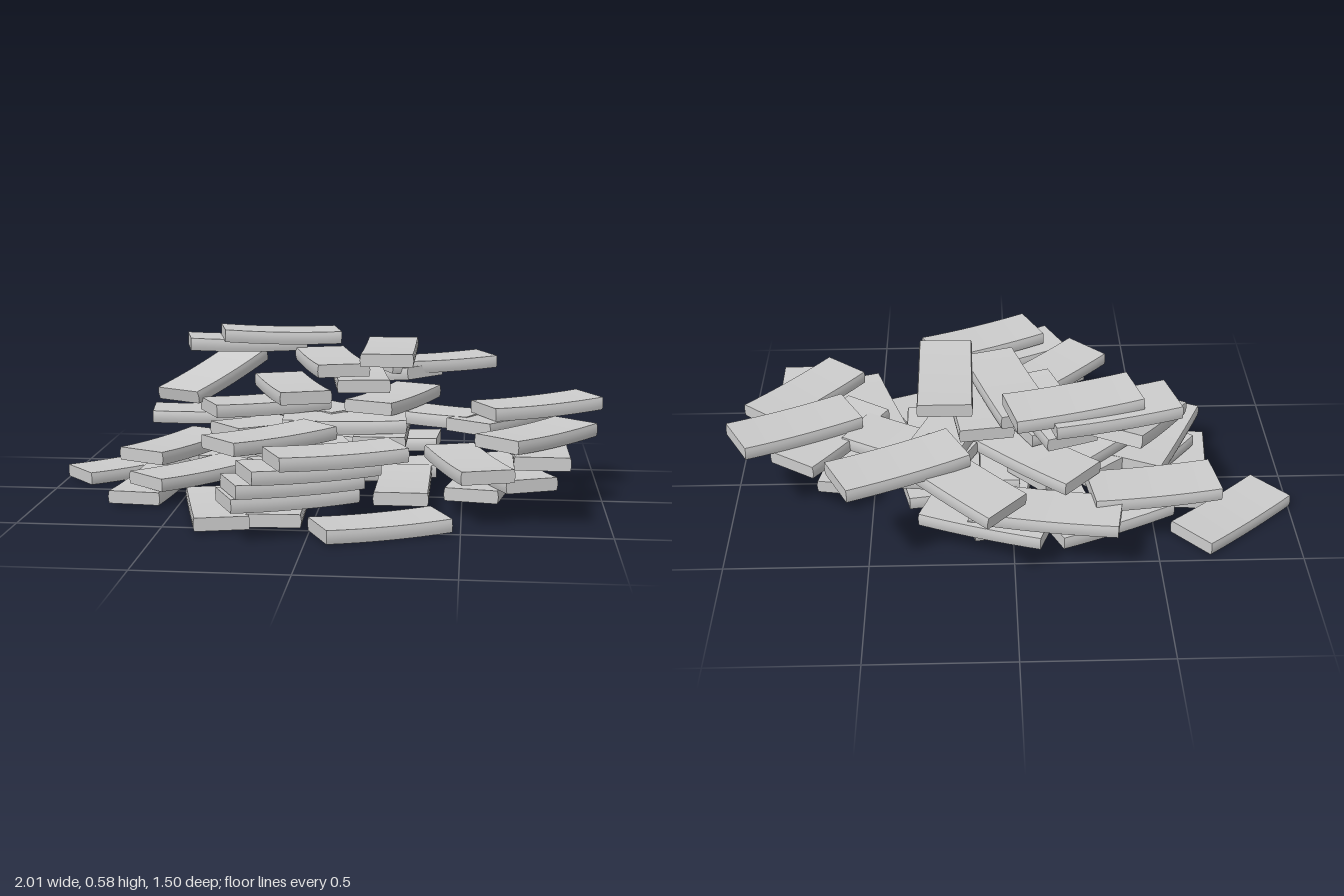
import * as THREE from 'three';

const LENGTH = 0.44, THICK = 0.046, WIDTH = 0.184, STEP = 0.0495;
const rad = THREE.MathUtils.degToRad;

// One bundle: a box that sags a little along its length, with softly bulging long sides
function bundleGeometry() {
  const g = new THREE.BoxGeometry(LENGTH, THICK, WIDTH, 8, 4, 1);
  const p = g.attributes.position;
  for (let i = 0; i < p.count; i++) {
    const u = p.getX(i) / (LENGTH / 2), v = p.getY(i) / (THICK / 2);
    p.setY(i, p.getY(i) + 0.006 * (u * u - 0.5));
    p.setZ(i, p.getZ(i) * (1.03 - 0.04 * v * v));
  }
  g.computeVertexNormals();
  return g;
}

// Outer bundles by level: x, z, heading and, where tilted, pitch in degrees
const OUTER = [
  { level: 0, at: [[-0.78, -0.27, 42, 1.5], [-0.635, 0.02, 85], [-0.34, 0.34, 104],
    [0.235, 0.51, 25], [-0.13, 0.28, 92], [-0.06, -0.24, 13]] },
  { level: 1, at: [[0.295, 0.14, 90], [0.57, 0.07, 80], [0.17, -0.11, 13],
    [-0.33, -0.32, 25], [-0.48, 0.02, 50]] },
  { level: 2, at: [[0.655, 0.12, 112], [0.09, -0.4, -20]] },
  { level: 3, at: [[0.52, 0.22, 108], [0.05, 0.14, 111], [-0.535, 0.02, 65]] },
  { level: 3.6, at: [[-0.14, -0.48, -10]] },
  { level: 4, at: [[0.765, 0.21, 90], [-0.48, -0.37, 8]] },
  { level: 5, at: [[-0.155, 0.32, 45], [0.64, -0.1, 56], [0.755, 0.19, 50], [0.36, -0.17, -28]] },
  { level: 6, at: [[0.765, -0.11, 28, 1.5], [-0.22, -0.05, 28], [0.24, -0.2, 68]] },
  { level: 7, at: [[0.19, -0.53, -43, 6], [-0.13, -0.1, 110]] },
  { level: 7.6, at: [[-0.44, -0.22, 62, 14]] },
  { level: 7.9, at: [[0.385, -0.5, 26], [0.12, -0.11, 98]] },
  { level: 9, at: [[0.015, -0.11, 107]] },
  { level: 9.8, at: [[0.23, -0.105, 90], [-0.33, -0.33, 14, -1]] },
  { level: 10.4, at: [[-0.2, -0.33, 14, -2]] },
];

export function createModel() {
  const group = new THREE.Group();
  group.name = 'bundlePile';
  const geometry = bundleGeometry();
  const material = new THREE.MeshStandardMaterial({ color: 0xcccccc });

  const addBundle = (name, level, x, z, heading, pitch = 0) => {
    const bundle = new THREE.Mesh(geometry, material);
    bundle.name = name;
    bundle.position.set(x, 0.026 + STEP * level, z);
    bundle.rotation.set(0, rad(heading), rad(pitch), 'YXZ');
    group.add(bundle);
  };

  // Outer bundles, loosely scattered
  for (const { level, at } of OUTER) {
    for (const place of at) addBundle('outerBundle', level, ...place);
  }

  // Front stack, creeping forward and sideways as it rises
  for (let k = 0; k < 4; k++) {
    addBundle('frontStackBundle', 2 + k, -0.07 + 0.018 * k * k, 0.53 + 0.013 * k, 25);
  }

  // Core: two opposite bundles per level, turning as they rise
  for (let i = 0; i < 8; i++) {
    const level = 2 + Math.floor(i / 2), turn = rad(i * 180 + level * 50);
    addBundle('coreBundle', level, 0.22 * Math.cos(turn), -0.11 + 0.14 * Math.sin(turn), 35 + i * 47);
  }
  return group;
}
